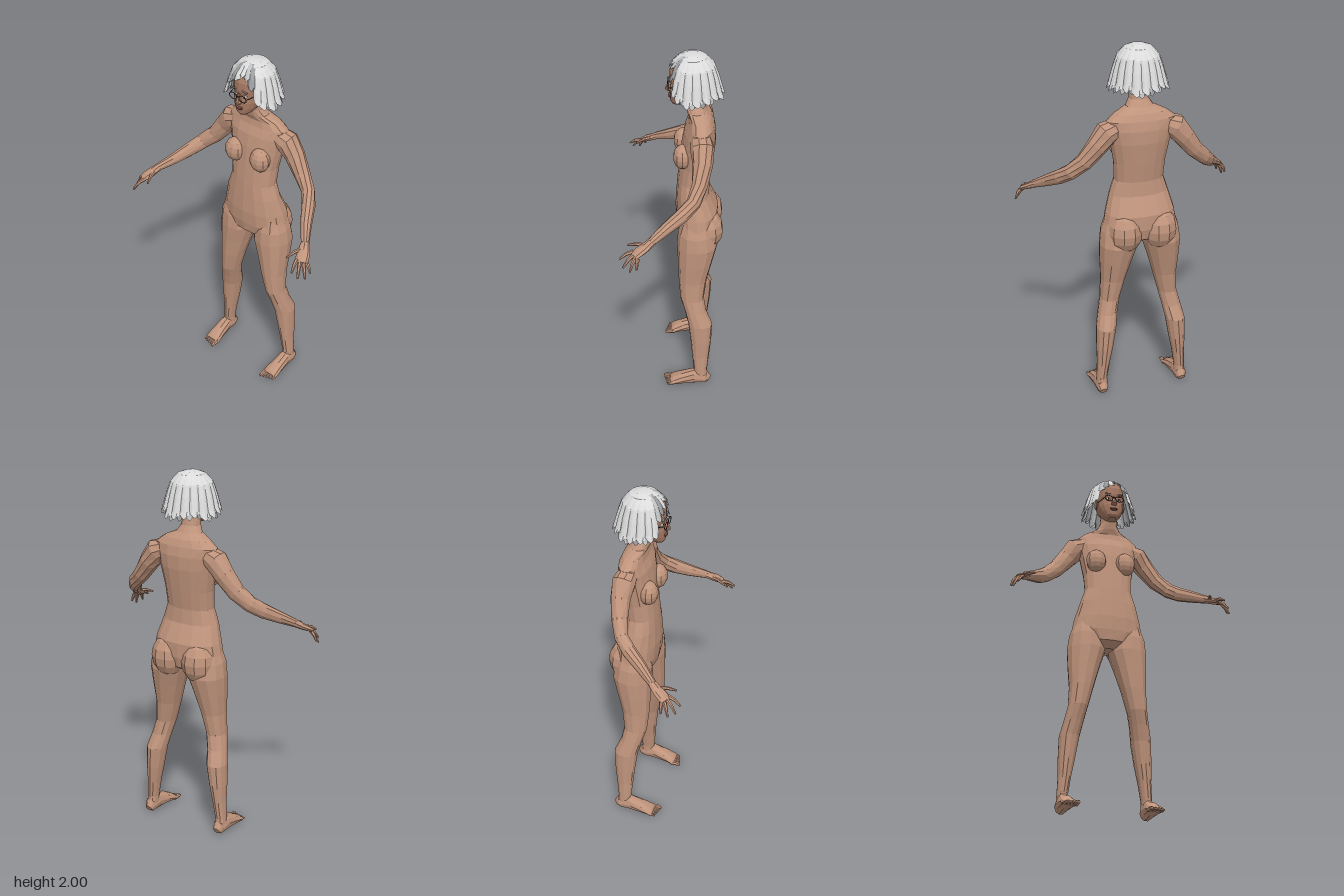
import * as THREE from 'three';

const mat = (name, color, extra = {}) => {
  const m = new THREE.MeshStandardMaterial({ color, flatShading: true, ...extra });
  m.name = name;
  return m;
};

// Skin closed rings of points, each counter-clockwise around the travel direction
function loft(rings) {
  const n = rings[0].length, pos = [], idx = [];
  rings.forEach(r => r.forEach(p => pos.push(p.x, p.y, p.z)));
  for (let j = 0; j < rings.length - 1; j++)
    for (let i = 0; i < n; i++) {
      const a = j * n + i, b = j * n + (i + 1) % n;
      idx.push(a, b, b + n, a, b + n, a + n);
    }
  const last = (rings.length - 1) * n;
  for (let i = 1; i < n - 1; i++) {
    idx.push(0, i + 1, i);
    idx.push(last, last + i, last + i + 1);
  }
  const g = new THREE.BufferGeometry();
  g.setAttribute('position', new THREE.Float32BufferAttribute(pos, 3));
  g.setIndex(idx);
  g.computeVertexNormals();
  return g;
}

// Upright form from rows of [y, xMin, xMax, zFront, zBack]
function column(rows, n = 14, pow = 0.9) {
  const soft = v => Math.sign(v) * Math.abs(v) ** pow;
  return loft(rows.map(([y, x0, x1, zf, zb]) => Array.from({ length: n }, (_, i) => {
    const a = i / n * Math.PI * 2;
    return new THREE.Vector3((x0 + x1) / 2 + soft(Math.sin(a)) * (x1 - x0) / 2, y,
      (zf + zb) / 2 + soft(Math.cos(a)) * (zf - zb) / 2);
  })));
}

// Limb along a path of [x, y, z, width radius, height radius]
function limb(rows, side = 1, n = 8) {
  const c = rows.map(r => new THREE.Vector3(r[0] * side, r[1], r[2]));
  return loft(rows.map((r, j) => {
    const t = c[Math.min(j + 1, c.length - 1)].clone().sub(c[Math.max(j - 1, 0)]).normalize();
    const u = new THREE.Vector3(0, 1, 0).cross(t).normalize(), v = t.clone().cross(u);
    return Array.from({ length: n }, (_, i) => {
      const a = i / n * Math.PI * 2;
      return c[j].clone().addScaledVector(u, Math.cos(a) * r[3]).addScaledVector(v, Math.sin(a) * r[4]);
    });
  }));
}

export function createModel() {
  const root = new THREE.Group();
  const skin = mat('skin', 0xc0947c), faceSkin = mat('faceSkin', 0xa87b65);
  const lip = mat('lips', 0x8a5448), white = mat('eyeWhite', 0xd9d2cb), dark = mat('glassesDark', 0x2e2825);
  const hair = [['hairLight', 0xdcdcdc], ['hairMid', 0xc0c1c2], ['hairDark', 0x9b9c9e]]
    .map(([n, c]) => mat(n, c, { side: THREE.DoubleSide }));

  const add = (name, geo, m, p = [0, 0, 0], s = [1, 1, 1], parent = root) => {
    const o = new THREE.Mesh(geo, m);
    o.name = name;
    o.position.set(...p);
    o.scale.set(...s);
    parent.add(o);
    return o;
  };
  const ball = new THREE.SphereGeometry(1, 10, 8);

  // Torso and neck: [y, half width, front z, back z]
  add('torso', column([
    [0.925, 0.05, -0.06, -0.16], [0.96, 0.14, -0.02, -0.22], [1.02, 0.205, -0.01, -0.235],
    [1.1, 0.19, -0.005, -0.235], [1.2, 0.162, -0.01, -0.19], [1.28, 0.135, -0.015, -0.185],
    [1.38, 0.14, -0.025, -0.2], [1.5, 0.162, -0.037, -0.215], [1.57, 0.178, -0.05, -0.215],
    [1.62, 0.185, -0.07, -0.205], [1.655, 0.14, -0.075, -0.19], [1.685, 0.072, -0.06, -0.165],
    [1.72, 0.05, -0.05, -0.145], [1.8, 0.046, -0.03, -0.13],
  ].map(([y, w, f, b]) => [y, -w, w, f, b]), 16), skin);

  for (const s of [1, -1]) {
    const side = new THREE.Group();
    side.name = s > 0 ? 'leftSide' : 'rightSide';
    root.add(side);
    const put = (name, geo, m = skin, p, sc) => add(name, geo, m, p, sc, side);

    // Chest and hip volumes
    put('chest', ball, skin, [s * 0.085, 1.45, -0.042], [0.058, 0.068, 0.05]);
    put('hip', ball, skin, [s * 0.095, 1.0, -0.165], [0.098, 0.12, 0.1]);

    // Leg: [y, inner x, outer x, front z, back z]
    put('leg', column([
      [0.04, 0.2, 0.262, -0.125, -0.195], [0.1, 0.2, 0.26, -0.115, -0.19], [0.2, 0.185, 0.255, -0.105, -0.2],
      [0.3, 0.165, 0.257, -0.095, -0.21], [0.42, 0.145, 0.255, -0.08, -0.215], [0.5, 0.13, 0.237, -0.06, -0.18],
      [0.58, 0.112, 0.22, -0.035, -0.165], [0.7, 0.08, 0.215, -0.025, -0.18], [0.82, 0.045, 0.222, -0.02, -0.21],
      [0.92, 0.012, 0.225, -0.015, -0.235], [1.0, 0.02, 0.215, -0.02, -0.22], [1.07, 0.06, 0.19, -0.04, -0.2],
    ].map(([y, a, b, f, k]) => [y, Math.min(s * a, s * b), Math.max(s * a, s * b), f, k]), 12, 0.95));

    // Foot and toes
    put('foot', limb([
      [0.232, 0.03, -0.2, 0.02, 0.022], [0.232, 0.042, -0.18, 0.032, 0.042], [0.232, 0.05, -0.12, 0.035, 0.05],
      [0.23, 0.035, -0.05, 0.042, 0.035], [0.228, 0.021, 0, 0.048, 0.021], [0.228, 0.015, 0.018, 0.046, 0.012],
    ], s, 10));
    for (let i = 0; i < 5; i++) {
      const x = 0.192 + i * 0.018, r = i ? 0.0085 : 0.012, tip = 0.058 - i * 0.005;
      put('toe', limb([[x, 0.014, 0, r, r], [x, 0.015, tip - 0.02, r, r], [x, 0.01, tip, r * 0.7, r * 0.6]], s, 6));
    }

    // Arm and palm
    put('arm', limb([
      [0.12, 1.585, -0.135, 0.05, 0.05], [0.185, 1.56, -0.142, 0.062, 0.066], [0.235, 1.495, -0.145, 0.052, 0.056],
      [0.3, 1.41, -0.13, 0.042, 0.047], [0.365, 1.35, -0.1, 0.036, 0.042], [0.41, 1.307, -0.045, 0.036, 0.04],
      [0.46, 1.26, 0.035, 0.03, 0.032], [0.515, 1.215, 0.11, 0.021, 0.022],
    ], s, 10));
    put('palm', limb([
      [0.51, 1.22, 0.1, 0.021, 0.021], [0.535, 1.192, 0.145, 0.032, 0.018],
      [0.55, 1.176, 0.175, 0.035, 0.016], [0.561, 1.163, 0.195, 0.03, 0.011],
    ], s));

    // Fingers and thumb: base then tip
    for (const [a, b] of [
      [[0.535, 1.172, 0.2], [0.556, 1.14, 0.268]], [[0.551, 1.165, 0.195], [0.582, 1.105, 0.25]],
      [[0.567, 1.16, 0.187], [0.602, 1.092, 0.215]], [[0.58, 1.162, 0.175], [0.607, 1.11, 0.18]],
      [[0.522, 1.2, 0.135], [0.488, 1.178, 0.228]],
    ]) {
      const m = a.map((v, i) => (v + b[i]) / 2);
      m[1] += 0.008;
      put('finger', limb([[...a, 0.011, 0.011], [...m, 0.0095, 0.0095], [...b, 0.005, 0.005]], s, 6));
    }

    // Ear, eye, brow and half of the glasses
    put('ear', ball, faceSkin, [s * 0.08, 1.835, -0.07], [0.01, 0.03, 0.02]);
    put('eye', ball, white, [s * 0.031, 1.835, 0.012], [0.014, 0.008, 0.01]);
    put('pupil', ball, dark, [s * 0.031, 1.835, 0.02], [0.005, 0.006, 0.004]);
    put('brow', new THREE.BoxGeometry(0.032, 0.005, 0.008), hair[2], [s * 0.034, 1.868, 0.022]).rotation.z = -s * 0.15;
    put('glassesRim', new THREE.TorusGeometry(0.022, 0.0022, 5, 16), dark, [s * 0.031, 1.831, 0.034], [1.1, 0.8, 1]);
    put('glassesTemple', limb([[0.055, 1.835, 0.033, 0.002, 0.002], [0.081, 1.842, -0.07, 0.002, 0.002]], s, 4), dark);
  }

  // Head: [y, half width, front z, back z]
  add('head', column([
    [1.722, 0.022, 0.012, -0.045], [1.737, 0.042, 0.022, -0.08], [1.765, 0.06, 0.025, -0.115],
    [1.8, 0.073, 0.026, -0.15], [1.835, 0.078, 0.02, -0.17], [1.865, 0.08, 0.027, -0.18],
    [1.91, 0.079, 0.026, -0.18], [1.95, 0.066, 0.01, -0.165], [1.975, 0.04, -0.02, -0.13],
  ].map(([y, w, f, b]) => [y, -w, w, f, b]), 16), faceSkin);
  add('nose', column([
    [1.792, -0.012, 0.012, 0.034, 0.01], [1.8, -0.017, 0.017, 0.049, 0.01],
    [1.812, -0.013, 0.013, 0.047, 0.01], [1.85, -0.007, 0.007, 0.028, 0.005],
  ], 8), faceSkin);
  add('upperLip', ball, lip, [0, 1.771, 0.025], [0.025, 0.0045, 0.008]);
  add('lowerLip', ball, lip, [0, 1.763, 0.025], [0.02, 0.005, 0.008]);
  add('glassesBridge', new THREE.BoxGeometry(0.018, 0.004, 0.004), dark, [0, 1.837, 0.036]);

  // One lock of hair hanging from the crown, bulged across and ragged at the tip
  const lock = (angle, width, end, scale) => {
    const heights = [1.997, 1.985, 1.945, 1.88, 1.815, 1.765], radii = [0.03, 0.07, 0.105, 0.125, 0.14, 0.152];
    const g = new THREE.PlaneGeometry(1, 1, 4, 8), p = g.attributes.position;
    for (let i = 0; i < p.count; i++) {
      const u = p.getX(i) * 2, t = 0.5 - p.getY(i);
      let y = 1.997 + (end - 1.997) * t ** 1.4;
      let k = 0;
      while (k < 4 && y < heights[k + 1]) k++;
      const f = (heights[k] - y) / (heights[k] - heights[k + 1]);
      const r = (radii[k] + (radii[k + 1] - radii[k]) * f) * scale + 0.012 * t * (1 - u * u);
      y += t > 0.95 ? Math.abs(u) * 0.02 : 0;
      const a = angle + u * width / 2 * (1 - 0.2 * t ** 4);
      const c = Math.cos(a);
      p.setXYZ(i, r * Math.sin(a), y, -0.088 + r * c * (c < 0 ? 1.04 : 0.95));
    }
    g.computeVertexNormals();
    return g;
  };

  // Outer and inner layers of long locks, leaving the face open
  const count = 18, step = Math.PI * 2 / count;
  for (let layer = 0; layer < 2; layer++)
    for (let k = 0; k < count; k++) {
      const a = (k + layer / 2) * step, fromFront = Math.min(a, Math.PI * 2 - a);
      if (fromFront < 0.95) continue;
      const end = 1.768 + ((k * 5) % 4) * 0.006 - layer * 0.008;
      add('hairLock', lock(a, step * 1.12, end, layer ? 0.93 : 1), hair[layer ? (k % 2) + 1 : (k * 2 + (k % 3)) % 3]);
    }
  // Fringe swept away from the parting: [angle, end height, colour]
  for (const [a, end, c] of [
    [-0.85, 1.8, 0], [-0.62, 1.875, 1], [-0.4, 1.9, 2], [-0.15, 1.915, 0],
    [0.12, 1.94, 0], [0.36, 1.93, 1], [0.6, 1.885, 2], [0.85, 1.81, 0],
  ]) add('fringe', lock(a, 0.38, end, 1.01), hair[c]);
  add('hairCrown', ball, hair[0], [0, 1.992, -0.088], [0.047, 0.008, 0.047]);

  return root;
}
